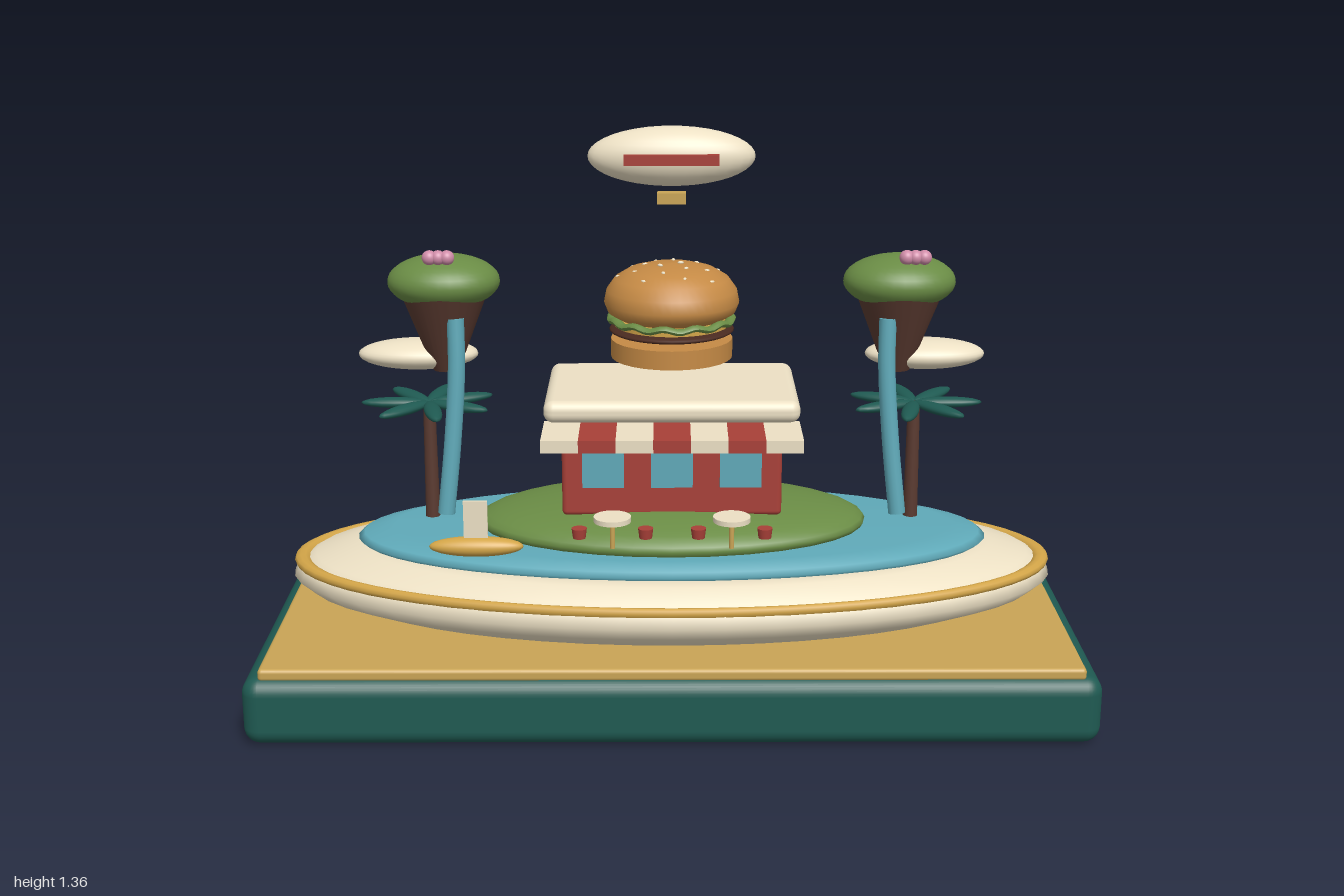
import * as THREE from 'three';
import { RoundedBoxGeometry } from 'three/addons/geometries/RoundedBoxGeometry.js';

const C = {
  teal: 0x1f5a52, sand: 0xc9a455, gold: 0xd3a548, cream: 0xece0c4, water: 0x5fa9b8,
  grass: 0x6a8c45, red: 0xa84038, brown: 0x5a3a30, patty: 0x4a2a20, bun: 0xc58a45, pink: 0xd08ca8,
};
const mats = {};
const mat = (c) => (mats[c] ??= new THREE.MeshStandardMaterial({ color: C[c] }));

export function createModel() {
  const model = new THREE.Group();

  const add = (name, geo, color, x = 0, y = 0, z = 0, parent = model) => {
    const m = new THREE.Mesh(geo, mat(color));
    m.name = name;
    m.position.set(x, y, z);
    parent.add(m);
    return m;
  };
  const box = (w, h, d, r = 0) => r ? new RoundedBoxGeometry(w, h, d, 4, r) : new THREE.BoxGeometry(w, h, d);
  const ball = (rx, ry, rz) => new THREE.SphereGeometry(1, 32, 20).scale(rx, ry, rz);
  const cyl = (rt, rb, h) => new THREE.CylinderGeometry(rt, rb, h, 28);
  const lathe = (pts, sx = 1, sz = 1) =>
    new THREE.LatheGeometry(pts.map((p) => new THREE.Vector2(...p)), 48).scale(sx, 1, sz);
  const group = (name, parent = model) => {
    const g = new THREE.Group();
    g.name = name;
    parent.add(g);
    return g;
  };

  // Plinth
  add('plinth', box(2, 0.165, 0.91, 0.04), 'teal', 0, 0.0825);
  add('sandSlab', box(1.92, 0.03, 0.87, 0.01), 'sand', 0, 0.172);

  // Oval island: bowl, rim band, lagoon, hill
  add('islandBowl', lathe([[0, 0.185], [0.68, 0.185], [0.85, 0.212], [0.96, 0.245], [1, 0.275],
    [0.985, 0.305], [0.94, 0.328], [0.84, 0.355], [0.78, 0.36], [0, 0.36]], 0.943, 0.413), 'cream');
  const ring = new THREE.TorusGeometry(1, 0.022, 10, 64).rotateX(Math.PI / 2).scale(0.92, 0.6, 0.4);
  add('rimBand', ring, 'gold', 0, 0.312);
  add('lagoon', lathe([[0, 0.35], [0.98, 0.355], [1, 0.367], [0.98, 0.38], [0.88, 0.397], [0, 0.4]], 0.78, 0.32), 'water');
  add('hill', ball(0.48, 0.067, 0.263), 'grass', 0, 0.41);

  // Diner
  const diner = group('diner');
  add('walls', box(0.53, 0.25, 0.31, 0.012), 'red', 0, 0.582, -0.025, diner);
  add('roof', box(0.61, 0.054, 0.39, 0.024), 'cream', 0, 0.727, -0.02, diner);
  for (const x of [-0.165, 0, 0.165]) add('window', box(0.1, 0.106, 0.012), 'water', x, 0.588, 0.143, diner);
  const stripe = 0.61 / 7;
  for (let i = 0; i < 7; i++) {
    add('awningStripe', box(stripe, 0.03, 0.165), i % 2 ? 'red' : 'cream', (i - 3) * stripe, 0.68, 0.207, diner);
  }

  // Tables, each with two stools
  for (const x of [-0.14, 0.14]) {
    const set = group('tableSet');
    set.position.set(x, 0, 0.274);
    add('tableTop', cyl(0.044, 0.044, 0.012), 'cream', 0, 0.5, 0, set);
    add('tablePost', cyl(0.006, 0.006, 0.07), 'sand', 0, 0.462, 0, set);
    for (const s of [-1, 1]) add('stool', cyl(0.018, 0.015, 0.024), 'red', s * 0.078, 0.465, 0, set);
  }

  // Surfboard with upright plate
  add('surfboard', ball(0.112, 0.024, 0.029), 'gold', -0.465, 0.416, 0.23);
  add('boardPlate', box(0.057, 0.095, 0.008), 'cream', -0.465, 0.483, 0.232);

  // Rooftop burger
  const burger = group('burger');
  burger.position.z = -0.025;
  add('bottomBun', cyl(0.148, 0.148, 0.046), 'bun', 0, 0.842, 0, burger);
  add('patty', ball(0.152, 0.017, 0.152), 'patty', 0, 0.887, 0, burger);
  add('cheese', cyl(0.14, 0.14, 0.01), 'gold', 0, 0.903, 0, burger);
  const leaf = new THREE.TorusGeometry(0.145, 0.012, 8, 72).rotateX(Math.PI / 2);
  const p = leaf.attributes.position;
  for (let i = 0; i < p.count; i++) {
    p.setY(i, p.getY(i) * 0.7 + 0.004 * Math.sin(12 * Math.atan2(p.getZ(i), p.getX(i))));
  }
  leaf.computeVertexNormals();
  add('lettuce', leaf, 'grass', 0, 0.914, 0, burger);
  const bunRy = 0.095, bunBase = 0.953;
  add('topBun', lathe([[0, 0.917], [0.13, 0.917], [0.155, 0.932], [0.164, 0.955], [0.158, 0.985],
    [0.138, 1.013], [0.105, 1.033], [0.06, 1.045], [0, 1.049]]), 'bun', 0, 0, 0, burger);
  for (let i = 0; i < 18; i++) {
    const r = 0.13 * Math.sqrt((i + 0.5) / 18), a = i * 2.4;
    const y = bunBase + bunRy * Math.sqrt(1 - (r / 0.168) ** 2);
    const seed = add('seed', new THREE.SphereGeometry(1, 8, 6).scale(0.008, 0.004, 0.005), 'cream',
      r * Math.cos(a), y + 0.002, r * Math.sin(a), burger);
    seed.rotation.y = a;
  }

  // Airship
  const airship = group('airship');
  airship.position.set(0, 1.29, -0.14);
  add('hull', ball(0.205, 0.073, 0.073), 'cream', 0, 0, 0, airship);
  add('sideStripe', box(0.23, 0.025, 0.018), 'red', 0, 0.001, 0.073, airship);
  add('gondola', box(0.07, 0.026, 0.036), 'sand', 0, -0.103, 0, airship);

  // Matching features at both ends
  for (const s of [-1, 1]) {
    // Floating islet with its waterfall and blossoms
    const islet = group('floatingIslet');
    add('isletRock', cyl(0.108, 0.032, 0.2), 'brown', s * 0.555, 0.875, -0.06, islet);
    add('isletCanopy', ball(0.137, 0.066, 0.115), 'grass', s * 0.555, 0.998, -0.058, islet);
    for (let i = -1; i <= 1; i++) {
      add('blossom', ball(0.018, 0.018, 0.018), 'pink', (s < 0 ? -0.56 : 0.585) + i * 0.021, 1.067, 0.002, islet);
    }
    const path = new THREE.CatmullRomCurve3([[0.522, 0.92, 0.012], [0.522, 0.8, 0.02], [0.535, 0.62, 0.03], [0.555, 0.435, 0.042]]
      .map(([x, y, z]) => new THREE.Vector3(s * x, y, z)));
    add('waterfall', new THREE.TubeGeometry(path, 24, 0.021, 14), 'water', 0, 0, 0, islet);
    for (const [t, turn] of [[0, -1], [1, 1]]) {
      const q = path.getPoint(t);
      add('waterfallEnd', new THREE.CircleGeometry(0.021, 14).rotateX(turn * Math.PI / 2), 'water', q.x, q.y, q.z, islet);
    }
    add('cloud', ball(0.148, 0.037, 0.074), 'cream', s * 0.627, 0.807, -0.092, islet);

    // Palm
    const palm = group('palm');
    palm.position.set(s * 0.6, 0, -0.05);
    add('palmTrunk', cyl(0.015, 0.018, 0.3), 'brown', 0, 0.545, 0, palm);
    for (let i = 0; i < 7; i++) {
      const a = (i * 2 * Math.PI) / 7 + (s < 0 ? Math.PI : 0);
      const frond = add('frond', new THREE.SphereGeometry(1, 16, 10).scale(0.085, 0.013, 0.021), 'teal',
        0.083 * Math.cos(a), 0.692, 0.083 * Math.sin(a), palm);
      frond.rotation.y = -a;
    }
  }
  return model;
}
